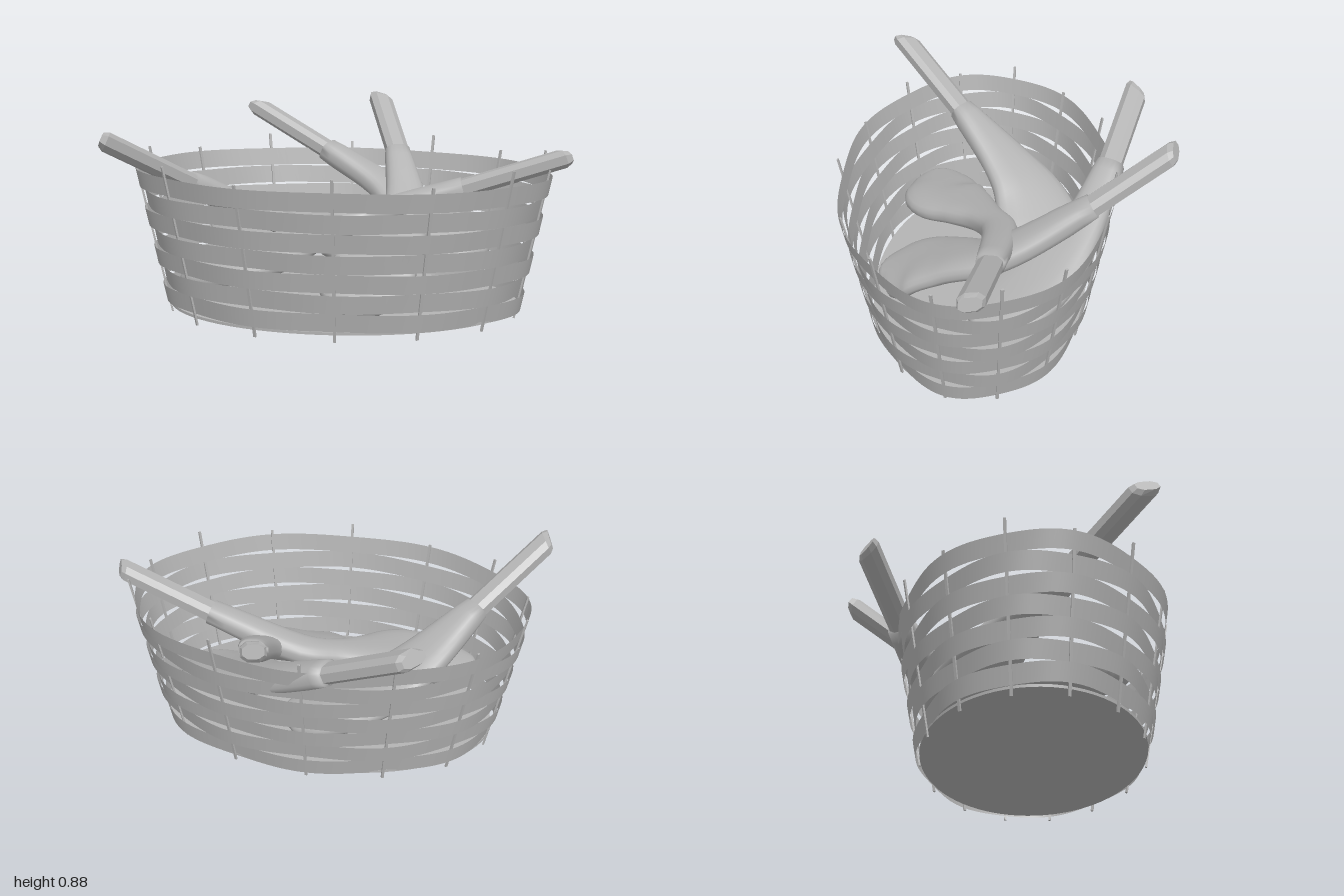
import * as THREE from 'three';

const grey = new THREE.MeshStandardMaterial({ color: 0xb3b3b3, side: THREE.DoubleSide });
grey.name = 'grey';

const STAKES = 14, BANDS = 7, CENTRE_Z = 0.12;

// Point on the flaring oval wall at an angle (0 = front) and height
function wallPoint(angle, y, offset) {
  const a = 0.77 + 0.2 * y + offset, c = 0.49 + 0.18 * y + offset;
  return new THREE.Vector3(a * Math.sin(angle), y, CENTRE_Z + c * Math.cos(angle));
}

function add(parent, geometry, name) {
  const mesh = new THREE.Mesh(geometry, grey);
  mesh.name = name;
  parent.add(mesh);
  return mesh;
}

// One woven strip, passing in front of and behind alternate stakes
function bandGeometry(index) {
  const g = new THREE.PlaneGeometry(1, 1, 168, 1);
  const pos = g.attributes.position;
  const sign = index % 2 ? 1 : -1;
  for (let i = 0; i < pos.count; i++) {
    const angle = pos.getX(i) * Math.PI * 2;
    const y = 0.035 + 0.0865 * index + 0.08 * (pos.getY(i) + 0.5);
    const p = wallPoint(angle, y, 0.006 + sign * 0.01 * Math.cos(angle * STAKES / 2));
    p.y += -0.012 * Math.sin(angle) + 0.008 * Math.cos(angle);
    pos.setXYZ(i, p.x, p.y, p.z);
  }
  g.computeVertexNormals();
  return g;
}

// Skin a row of rings {p, w, t, skew}; w and t are half width and half thickness
function loft(rings, sides) {
  const verts = [], index = [];
  const rounded = v => Math.sign(v) * Math.pow(Math.abs(v), 0.8);
  rings.forEach((r, i) => {
    const tan = rings[Math.min(i + 1, rings.length - 1)].p.clone()
      .sub(rings[Math.max(i - 1, 0)].p).normalize();
    const side = new THREE.Vector3(-tan.z, 0, tan.x).normalize();
    const up = side.clone().cross(tan);
    for (let k = 0; k < sides; k++) {
      const a = (k + 0.5) / sides * Math.PI * 2;
      const u = rounded(Math.cos(a));
      const v = r.p.clone().addScaledVector(side, u * r.w)
        .addScaledVector(up, rounded(Math.sin(a)) * r.t)
        .addScaledVector(tan, -u * r.skew);
      verts.push(v.x, v.y, v.z);
    }
  });
  for (let i = 0; i < rings.length - 1; i++) {
    for (let k = 0; k < sides; k++) {
      const a = i * sides + k, b = i * sides + (k + 1) % sides;
      index.push(a, a + sides, b, b, a + sides, b + sides);
    }
  }
  // End caps
  const last = (rings.length - 1) * sides;
  for (let k = 1; k < sides - 1; k++) {
    index.push(0, k, k + 1, last, last + k + 1, last + k);
  }
  const g = new THREE.BufferGeometry();
  g.setAttribute('position', new THREE.Float32BufferAttribute(verts, 3));
  g.setIndex(index);
  g.computeVertexNormals();
  return g;
}

// Handle: bevelled straight bar with a slanted end
function handleGeometry(start, end, skew) {
  const dir = end.clone().sub(start).normalize();
  const at = d => start.clone().addScaledVector(dir, d);
  const g = loft([
    { p: at(0), w: 0.045, t: 0.03, skew },
    { p: at(0.025), w: 0.055, t: 0.042, skew },
    { p: at(start.distanceTo(end) + 0.06), w: 0.055, t: 0.042, skew: 0 },
  ], 8).toNonIndexed();
  g.computeVertexNormals();
  return g;
}

// Rings of the sleeve, neck and rounded head, sinking with distance from the tip
function headRings(tip, slope, sections) {
  const curve = new THREE.CatmullRomCurve3(sections.map(([x, z, w]) => new THREE.Vector3(x, w, z)));
  return curve.getPoints(36).map(({ x, y, z }) => {
    const d = Math.hypot(x - tip.x, z - tip.z);
    const w = Math.max(y, 0.01);
    return {
      p: new THREE.Vector3(x, tip.y - slope * d * (1 - 0.07 * d), z),
      w, t: Math.min(0.056, w * 0.78), skew: 0,
    };
  });
}

// Each paddle: handle tip, end slant, fall, then sections of x, z, half width
const paddles = [
  { tip: [-0.955, 0.815, 0.54], skew: 0.03, slope: 0.56, sections: [
    [-0.66, 0.24, 0.062], [-0.44, 0.01, 0.13], [-0.3, -0.1, 0.175],
    [-0.13, -0.16, 0.2], [0, -0.17, 0.19], [0.09, -0.18, 0.13], [0.13, -0.19, 0.03]] },
  { tip: [0.975, 0.69, 0.1], skew: -0.025, slope: 0.35, sections: [
    [0.53, 0.045, 0.062], [0.1, 0.025, 0.082], [-0.05, 0.09, 0.085], [-0.2, 0.19, 0.14],
    [-0.35, 0.3, 0.195], [-0.5, 0.33, 0.17], [-0.62, 0.35, 0.11], [-0.68, 0.36, 0.03]] },
  { tip: [0.125, 0.85, -0.725], skew: 0.025, slope: 0.63, sections: [
    [0.225, -0.38, 0.06], [0.275, -0.05, 0.1], [0.26, 0.08, 0.125], [0.18, 0.24, 0.175],
    [0.12, 0.38, 0.21], [0.1, 0.5, 0.16], [0.1, 0.57, 0.04]] },
  { tip: [-0.48, 0.815, -0.6], skew: 0.03, slope: 0.52, sections: [
    [-0.12, -0.47, 0.065], [0.14, -0.35, 0.1], [0.27, -0.25, 0.15], [0.4, -0.12, 0.19],
    [0.48, 0, 0.19], [0.52, 0.08, 0.14], [0.54, 0.13, 0.05]] },
];

export function createModel() {
  const model = new THREE.Group();
  model.name = 'basketOfPaddles';

  const basket = new THREE.Group();
  basket.name = 'basket';
  model.add(basket);

  // Oval floor
  const floor = add(basket, new THREE.CylinderGeometry(1, 1, 0.012, 72), 'floor');
  floor.scale.set(0.775, 1, 0.495);
  floor.position.set(0, 0.036, CENTRE_Z);

  // Woven strips
  for (let i = 0; i < BANDS; i++) add(basket, bandGeometry(i), 'wovenBand');

  // Upright stakes
  for (let i = 0; i < STAKES; i++) {
    const angle = i / STAKES * Math.PI * 2;
    const low = wallPoint(angle, 0, 0.003);
    const high = wallPoint(angle, i % 2 ? 0.66 : 0.7, 0.006);
    const stake = add(basket, new THREE.BoxGeometry(0.012, low.distanceTo(high), 0.008), 'stake');
    stake.position.copy(low).add(high).multiplyScalar(0.5);
    stake.quaternion.setFromUnitVectors(new THREE.Vector3(0, 1, 0), high.clone().sub(low).normalize());
    stake.rotateY(angle);
  }

  // Paddles leaning in the basket
  for (const { tip, skew, slope, sections } of paddles) {
    const paddle = new THREE.Group();
    paddle.name = 'paddle';
    const start = new THREE.Vector3(...tip);
    const rings = headRings(start, slope, sections);
    add(paddle, handleGeometry(start, rings[0].p, skew), 'handle');
    add(paddle, loft(rings, 20), 'paddleHead');
    model.add(paddle);
  }
  return model;
}
